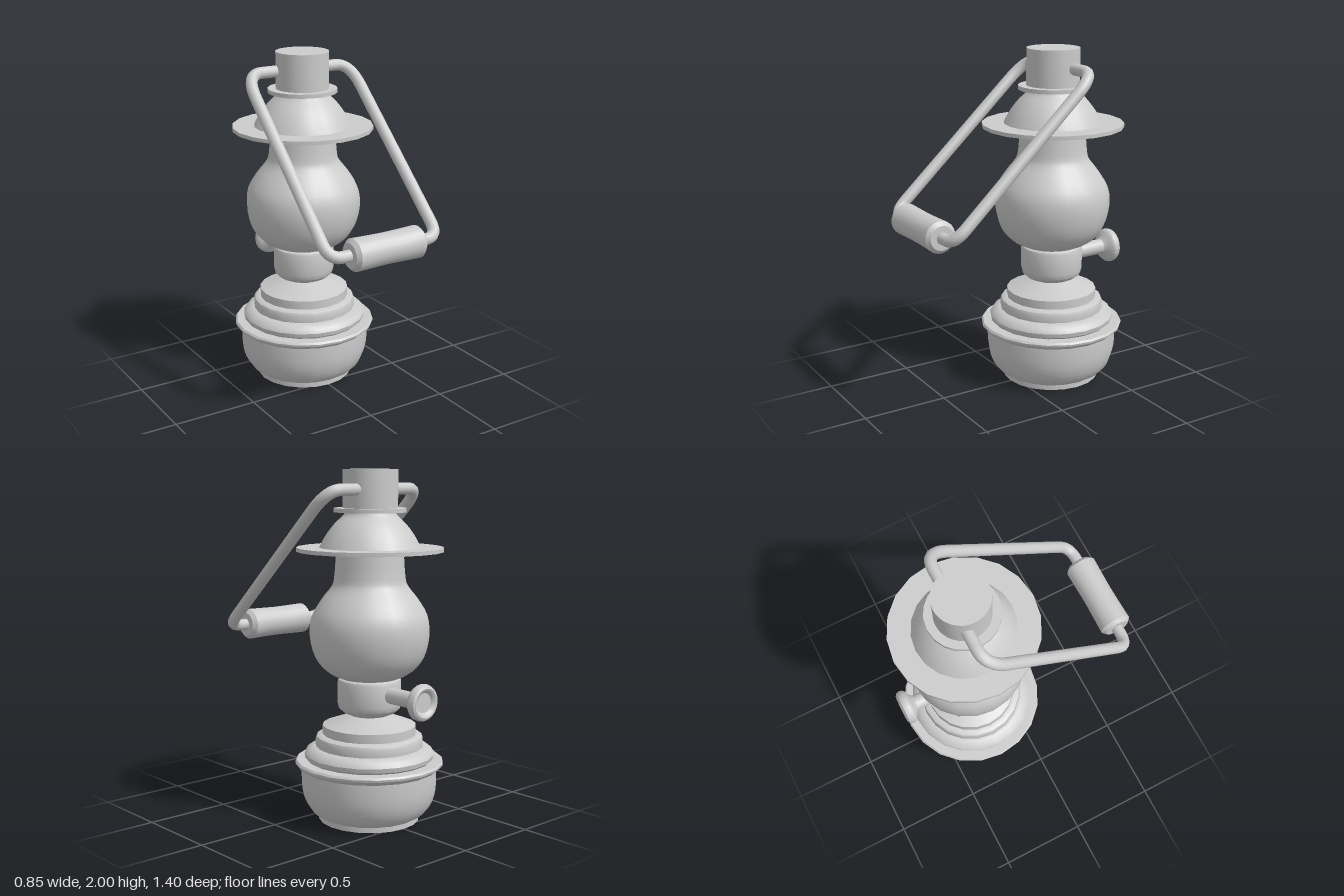
import * as THREE from 'three';
import { toCreasedNormals } from 'three/addons/utils/BufferGeometryUtils.js';

const AXIS_Z = -0.25; // vertical axis of the lamp body
const material = new THREE.MeshStandardMaterial({ color: 0xcccccc });
const toPoints = (list) => list.map(([r, y]) => new THREE.Vector2(r, y));

function addMesh(parent, name, geometry) {
  const mesh = new THREE.Mesh(geometry, material);
  mesh.name = name;
  parent.add(mesh);
  return mesh;
}

// Turned part from [radius, height] pairs, bottom to top
function turned(profile, sides = 20) {
  return toCreasedNormals(new THREE.LatheGeometry(toPoints(profile), sides), 0.62);
}

// Smooth profile through a few points, closed to the axis at both ends
function smoothProfile(list, steps) {
  const curve = new THREE.SplineCurve(toPoints(list)).getPoints(steps).map((p) => [p.x, p.y]);
  return [[0, list[0][1]], ...curve, [0, list[list.length - 1][1]]];
}

export function createModel() {
  const model = new THREE.Group();
  model.name = 'oilLamp';
  const body = new THREE.Group();
  body.name = 'lampBody';
  body.position.z = AXIS_Z;
  model.add(body);

  // Fuel tank: foot, bowl and flared rim
  addMesh(body, 'foot', turned([[0, 0], [0.29, 0], [0.29, 0.035], [0, 0.035]]));
  addMesh(body, 'bowl', turned(smoothProfile(
    [[0.29, 0.03], [0.335, 0.06], [0.37, 0.12], [0.388, 0.2], [0.39, 0.31]], 10)));
  addMesh(body, 'rim', turned([[0, 0.3], [0.385, 0.3], [0.4, 0.31], [0.424, 0.33],
    [0.427, 0.343], [0.418, 0.354], [0.36, 0.354], [0, 0.354]]));

  // Stepped lid narrowing to the neck
  addMesh(body, 'lid', turned([[0.345, 0.345], [0.368, 0.365], [0.373, 0.39], [0.36, 0.412],
    [0.325, 0.432], [0.308, 0.434], [0.31, 0.475], [0.303, 0.492], [0.285, 0.502],
    [0.268, 0.504], [0.268, 0.555], [0.13, 0.605], [0.09, 0.62], [0, 0.62]]));

  // Burner collar
  addMesh(body, 'burnerCollar', turned([[0, 0.605], [0.105, 0.61], [0.15, 0.63], [0.175, 0.652],
    [0.183, 0.685], [0.183, 0.805], [0.178, 0.82], [0.163, 0.83], [0, 0.83]]));

  // Glass globe with its tapering throat
  addMesh(body, 'globe', turned(smoothProfile(
    [[0.16, 0.825], [0.245, 0.868], [0.31, 0.95], [0.34, 1.07], [0.33, 1.18], [0.275, 1.275],
      [0.22, 1.345], [0.202, 1.4], [0.19, 1.56]], 24)));

  // Hood: brim, dome, flange and chimney
  addMesh(body, 'brim', turned([[0, 1.546], [0.415, 1.546], [0.415, 1.568], [0, 1.568]]));
  addMesh(body, 'dome', turned(smoothProfile(
    [[0.288, 1.565], [0.25, 1.635], [0.2, 1.7], [0.15, 1.748], [0.142, 1.77]], 10)));
  addMesh(body, 'flange', turned([[0, 1.763], [0.204, 1.763], [0.204, 1.786], [0, 1.786]]));
  addMesh(body, 'chimney', turned([[0, 1.78], [0.155, 1.78], [0.155, 2], [0, 2]], 32));

  // Wick knob: stem and dished wheel pointing backwards
  const knob = addMesh(body, 'wickKnob', turned([[0, 0.1], [0.046, 0.1], [0.046, 0.36],
    [0.062, 0.378], [0.088, 0.388], [0.102, 0.405], [0.104, 0.425], [0.096, 0.443],
    [0.082, 0.45], [0.066, 0.444], [0.056, 0.43], [0, 0.43]]));
  knob.rotation.x = -Math.PI / 2;
  knob.position.y = 0.748;

  // Bail handle, laid out flat and tilted forwards from the chimney
  const top = new THREE.Vector3(0, 1.89, -0.29);
  const grip = new THREE.Vector3(0, 1.06, 0.61);
  const length = top.distanceTo(grip);
  const handle = new THREE.Group();
  handle.name = 'handle';
  handle.position.copy(top);
  handle.rotation.x = -Math.atan2(grip.z - top.z, top.y - grip.y);
  model.add(handle);

  const V = (x, y) => new THREE.Vector3(x, y, 0);
  for (const side of [1, -1]) {
    const path = new THREE.CurvePath();
    const at = (x, y) => V(side * x, -y);
    path.add(new THREE.LineCurve3(at(0.12, 0), at(0.25, 0)));
    path.add(new THREE.QuadraticBezierCurve3(at(0.25, 0), at(0.345, 0), at(0.351, 0.15)));
    path.add(new THREE.LineCurve3(at(0.351, 0.15), at(0.356, length - 0.1)));
    path.add(new THREE.QuadraticBezierCurve3(
      at(0.356, length - 0.1), at(0.357, length), at(0.27, length)));
    path.add(new THREE.LineCurve3(at(0.27, length), at(0.18, length)));
    addMesh(handle, side > 0 ? 'leftBail' : 'rightBail', new THREE.TubeGeometry(path, 64, 0.034, 12));
  }

  // Grip roller, slightly waisted with chamfered ends
  const roller = addMesh(handle, 'grip', turned([[0, -0.23], [0.07, -0.23], [0.092, -0.208],
    [0.089, -0.1], [0.087, 0], [0.089, 0.1], [0.092, 0.208], [0.07, 0.23], [0, 0.23]]));
  roller.rotation.z = Math.PI / 2;
  roller.position.y = -length;

  return model;
}
